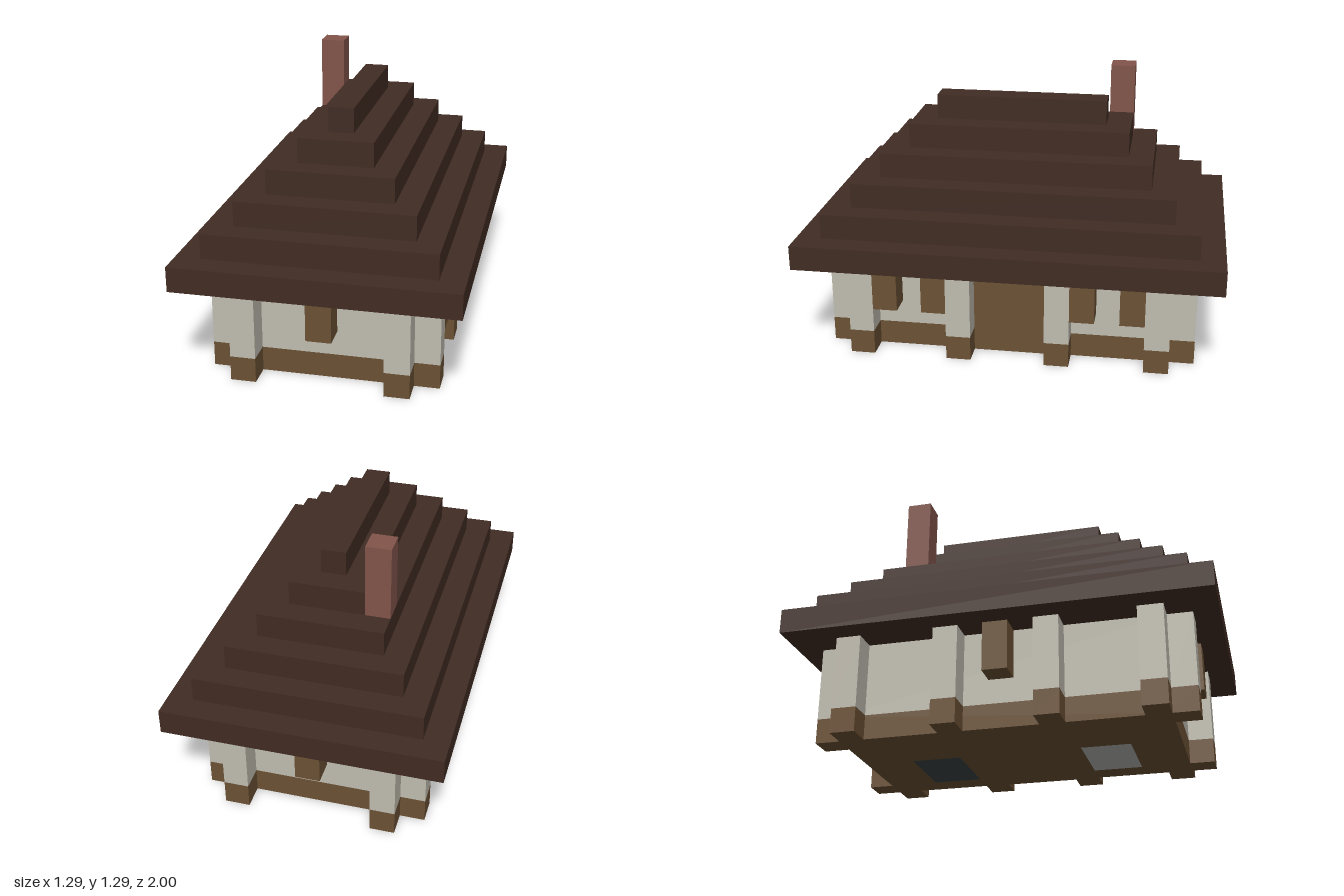
import * as THREE from 'three';

const U = 2 / 17; // one block

function paint(name, color) {
  const m = new THREE.MeshStandardMaterial({ color });
  m.name = name;
  return m;
}

export function createModel() {
  const house = new THREE.Group();
  house.name = 'house';
  const wood = paint('brown wood', 0x6b5134);
  const plaster = paint('cream plaster', 0xc0bcaf);
  const roofing = paint('dark brown roof', 0x412c23);
  const brick = paint('red brick', 0x82554a);
  const dark = paint('dark slate', 0x3b4444);
  const grey = paint('grey stone', 0xb4b4b0);

  // Box given by its limits in blocks
  function block(name, material, [x0, x1], [y0, y1], [z0, z1], parent = house) {
    const geo = new THREE.BoxGeometry((x1 - x0) * U, (y1 - y0) * U, (z1 - z0) * U);
    const mesh = new THREE.Mesh(geo, material);
    mesh.position.set((x0 + x1) / 2 * U, (y0 + y1) / 2 * U, (z0 + z1) / 2 * U);
    mesh.name = name;
    parent.add(mesh);
  }
  const around = (c) => [c - 0.5, c + 0.5];

  // Rectangle outline on the ground plan
  function outline(C, x0, x1, z0, z1) {
    const p = new C();
    p.moveTo(x0 * U, z0 * U);
    p.lineTo(x1 * U, z0 * U);
    p.lineTo(x1 * U, z1 * U);
    p.lineTo(x0 * U, z1 * U);
    p.closePath();
    return p;
  }

  // Foundation slab with two inset floor panels
  const slab = outline(THREE.Shape, -3.5, 3.5, -6.5, 6.5);
  for (const [z, material] of [[-3.5, dark], [3.5, grey]]) {
    slab.holes.push(outline(THREE.Path, -0.5, 2.5, z - 1, z + 1));
    block('floorPanel', material, [-0.5, 2.5], [0, 1], [z - 1, z + 1]);
  }
  const slabGeo = new THREE.ExtrudeGeometry(slab, { depth: U, bevelEnabled: false });
  slabGeo.rotateX(Math.PI / 2);
  const foundation = new THREE.Mesh(slabGeo, wood);
  foundation.position.y = U;
  foundation.name = 'foundation';
  house.add(foundation);

  // Main walls
  block('walls', plaster, [-3.5, 3.5], [1, 4], [-6.5, 6.5]);

  // Posts at the corners and beside the middle bay of each long side
  for (const sx of [-1, 1]) {
    for (const sz of [-1, 1]) {
      for (const [x, z] of [[3, 7], [4, 6], [4, 2]]) {
        const post = new THREE.Group();
        post.name = 'post';
        block('postFoot', wood, around(sx * x), [0, 1], around(sz * z), post);
        block('postShaft', plaster, around(sx * x), [1, 4], around(sz * z), post);
        house.add(post);
      }
    }
  }

  // Wooden shutters on all sides
  const shutters = [[0, 7], [0, -7], [-4, 0], [4, 5], [4, 3], [4, -3], [4, -5]];
  for (const [x, z] of shutters) block('shutter', wood, around(x), [2, 4], around(z));

  // Door on the left side
  block('door', wood, [3.5, 3.55], [0, 4], [-1.5, 1.5]);

  // Stepped roof
  for (let i = 0; i < 6; i++) {
    block('roofStep', roofing, [i - 5.5, 5.5 - i], [4 + i, 5 + i], [i - 8.5, 8.5 - i]);
  }

  // Chimney
  block('chimney', brick, [-2.5, -1.5], [8, 11], [-4.5, -3.5]);
  return house;
}
